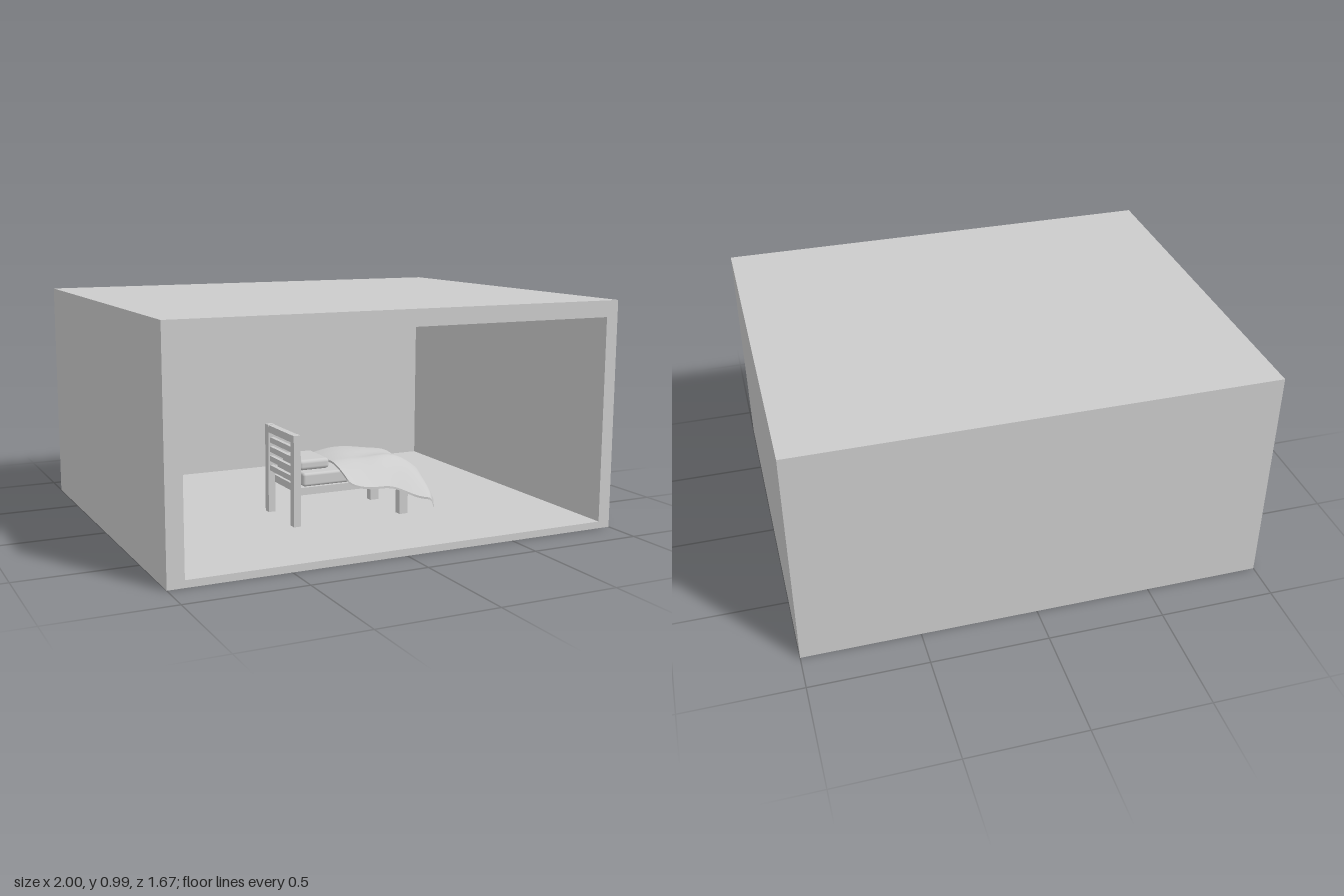
import * as THREE from 'three';
import { RoundedBoxGeometry } from 'three/addons/geometries/RoundedBoxGeometry.js';

const material = new THREE.MeshStandardMaterial({ color: 0xcccccc });
const clothMaterial = new THREE.MeshStandardMaterial({ color: 0xcccccc, side: THREE.DoubleSide });

function addMesh(parent, name, geometry, mat = material) {
  const mesh = new THREE.Mesh(geometry, mat);
  mesh.name = name;
  parent.add(mesh);
  return mesh;
}

// Box given by its lower and upper corners; a radius rounds its edges.
function addBlock(parent, name, [x0, y0, z0], [x1, y1, z1], radius = 0) {
  const size = [x1 - x0, y1 - y0, z1 - z0];
  const geometry = radius
    ? new RoundedBoxGeometry(...size, 3, radius)
    : new THREE.BoxGeometry(...size);
  geometry.translate((x0 + x1) / 2, (y0 + y1) / 2, (z0 + z1) / 2);
  return addMesh(parent, name, geometry);
}

// Room: a rectangular tube with the front open, closed by a back wall.
function createRoom() {
  const room = new THREE.Group();
  room.name = 'room';
  const rect = (x0, y0, x1, y1) => [[x0, y0], [x1, y0], [x1, y1], [x0, y1]]
    .map(([x, y]) => new THREE.Vector2(x, y));
  const outline = new THREE.Shape(rect(-1, 0, 1, 0.985));
  outline.holes.push(new THREE.Path(rect(-0.93, 0.03, 0.945, 0.915).reverse()));
  const shell = new THREE.ExtrudeGeometry(outline, { depth: 1.6, bevelEnabled: false });
  shell.translate(0, 0, -0.765);
  addMesh(room, 'wallsFloorAndCeiling', shell);
  addBlock(room, 'backWall', [-1, 0, -0.835], [1, 0.985, -0.765]);
  return room;
}

// Blanket: a thin grid bent over the mattress and hanging at the sides and foot.
function createBlanketGeometry() {
  const ridge = new THREE.SplineCurve([
    [-0.085, 0.286], [0.02, 0.297], [0.14, 0.297], [0.25, 0.275], [0.33, 0.232], [0.375, 0.175], [0.41, 0.125],
  ].map(([x, y]) => new THREE.Vector2(x, y)));
  const geometry = new THREE.BoxGeometry(1, 1, 1, 44, 1, 44);
  const pos = geometry.attributes.position;
  const point = new THREE.Vector2();
  for (let i = 0; i < pos.count; i++) {
    const u = pos.getX(i) + 0.5;
    const s = pos.getZ(i) * 2;
    const layer = pos.getY(i) - 0.5;
    ridge.getPoint(u, point);
    const side = Math.abs(s);
    const hang = Math.pow(Math.max(0, (side - 0.4) / 0.6), 1.4);
    const drop = 0.045 + 0.075 * Math.sin(Math.PI * Math.min(1, u * 1.05)) ** 0.8;
    const folds = 0.007 * Math.sin(u * 15 + s * 3) * (0.4 + side)
      + 0.005 * Math.cos(s * 8 + u * 4) * Math.min(1, u * 3);
    // The front corner is pulled back toward the head.
    const x = point.x - 0.07 * u * u * Math.max(0, s) ** 2 + 0.008 * u * Math.sin(s * 9);
    const y = point.y - drop * hang + folds * 0.8 + 0.009 * layer;
    const z = 0.205 + s * (0.265 + 0.012 * Math.sin(u * 11));
    pos.setXYZ(i, x, y, z);
  }
  geometry.computeVertexNormals();
  return geometry;
}

function createBed() {
  const bed = new THREE.Group();
  bed.name = 'bed';
  const back = 0.05, front = 0.362, floor = 0.03;

  // Headboard posts and foot legs, one pair on each side
  for (const [side, z] of [['Right', back], ['Left', front - 0.036]]) {
    addBlock(bed, 'headPost' + side, [-0.284, floor, z], [-0.252, 0.425, z + 0.036]);
    addBlock(bed, 'footLeg' + side, [0.226, floor, z], [0.267, 0.17, z + 0.036]);
  }

  // Headboard rails
  addBlock(bed, 'headboardTopRail', [-0.283, 0.392, back + 0.03], [-0.253, 0.424, front - 0.03]);
  for (let i = 0; i < 4; i++) {
    const y = 0.22 + i * 0.042;
    addBlock(bed, 'headboardSlat', [-0.277, y, back + 0.03], [-0.259, y + 0.024, front - 0.03]);
  }

  // Frame, bedding and pillow
  addBlock(bed, 'bedFrame', [-0.254, 0.166, back], [0.267, 0.198, front]);
  addBlock(bed, 'mattress', [-0.235, 0.198, back + 0.01], [0.258, 0.256, front - 0.01], 0.012);
  addBlock(bed, 'pillow', [-0.23, 0.256, 0.11], [-0.088, 0.302, 0.302], 0.016);
  addMesh(bed, 'blanket', createBlanketGeometry(), clothMaterial);
  return bed;
}

export function createModel() {
  const model = new THREE.Group();
  model.name = 'bedroom';
  model.add(createRoom(), createBed());
  return model;
}
